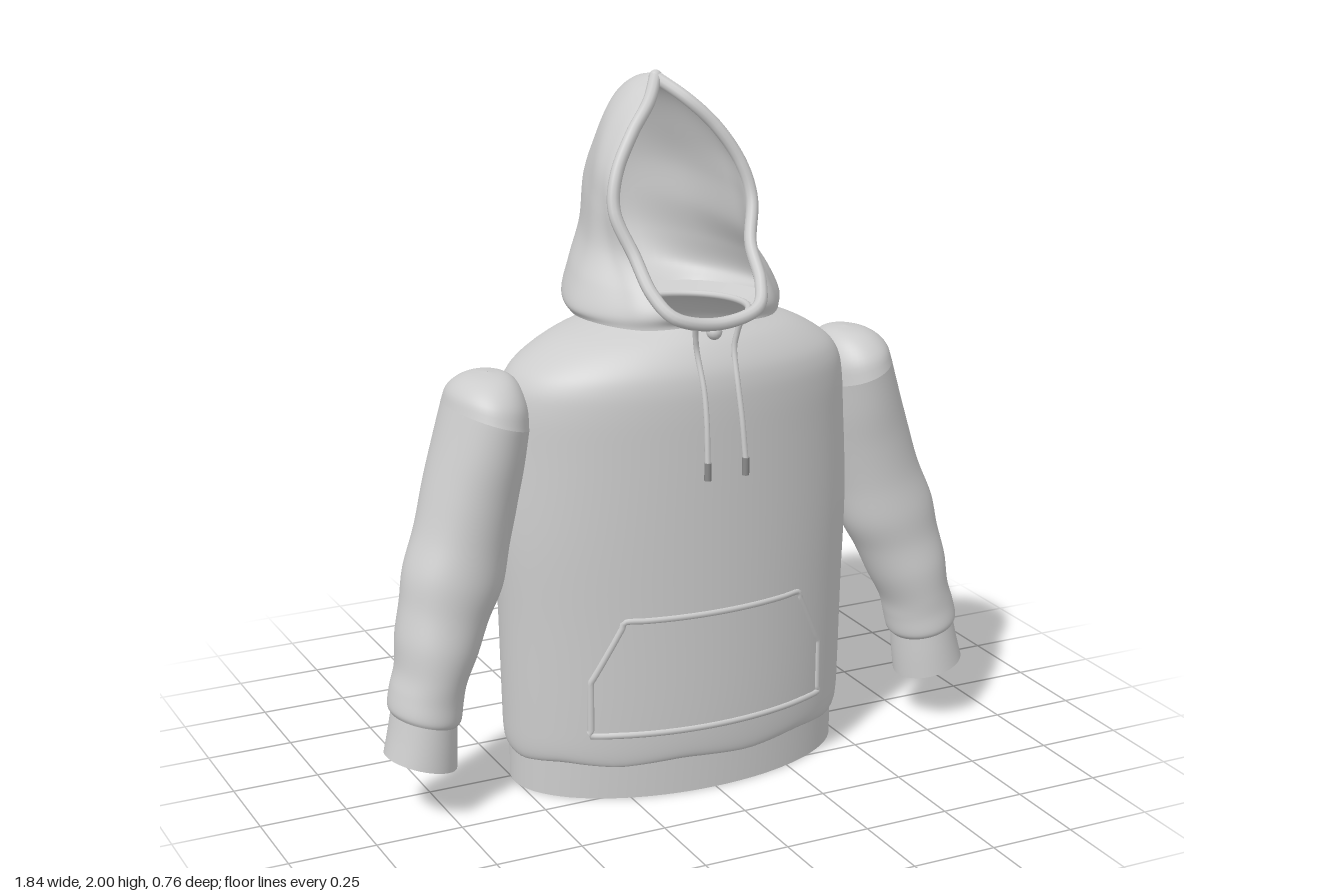
import * as THREE from 'three';

const V = (x, y, z) => new THREE.Vector3(x, y, z);
const fabric = new THREE.MeshStandardMaterial({ color: 0xcccccc, side: THREE.DoubleSide });
fabric.name = 'light grey fabric';
const tipGrey = new THREE.MeshStandardMaterial({ color: 0x8a8a8a });
tipGrey.name = 'dark grey tip';

const spline = (pts, closed = false) => new THREE.CatmullRomCurve3(pts, closed, 'catmullrom', 0.5);

// Smooth surface through cross-section rows; nU points around, nV steps along
function skin(rows, nU, nV, closed) {
  const curves = rows.map((r) => spline(r, closed));
  const pos = [], idx = [];
  const cols = closed ? nU : nU + 1;
  for (let i = 0; i < cols; i++) {
    const along = spline(curves.map((c) => c.getPoint(i / nU)));
    for (let j = 0; j <= nV; j++) pos.push(...along.getPoint(j / nV).toArray());
  }
  for (let i = 0; i < nU; i++) {
    for (let j = 0; j < nV; j++) {
      const a = i * (nV + 1) + j, b = ((i + 1) % cols) * (nV + 1) + j;
      idx.push(a, a + 1, b, b, a + 1, b + 1);
    }
  }
  const g = new THREE.BufferGeometry();
  g.setAttribute('position', new THREE.Float32BufferAttribute(pos, 3));
  g.setIndex(idx);
  g.computeVertexNormals();
  return g;
}

// Elliptical ring, tilted in the xy plane
function ring(x, y, z, rx, rz, tilt = 0, wave = 0) {
  return Array.from({ length: 32 }, (_, i) => {
    const a = (i / 32) * Math.PI * 2, c = Math.cos(a) * rx;
    return V(x + c * Math.cos(tilt), y + c * Math.sin(tilt) + wave * Math.sin(a * 8), z + Math.sin(a) * rz);
  });
}

const tube = (pts, r, n, closed = false) => new THREE.TubeGeometry(spline(pts, closed), n, r, 10, closed);

// Hood sections, bottom to peak: rim, front side, side, back corner (xyz each), back (yz)
const HOOD = [
  [0, 1.365, 0.315, 0.2, 1.355, 0.255, 0.3, 1.36, 0.05, 0.2, 1.355, -0.18, 1.355, -0.235],
  [0.12, 1.39, 0.31, 0.225, 1.39, 0.23, 0.312, 1.39, 0.04, 0.22, 1.4, -0.2, 1.41, -0.31],
  [0.165, 1.45, 0.25, 0.22, 1.45, 0.19, 0.283, 1.46, 0.03, 0.205, 1.48, -0.2, 1.5, -0.36],
  [0.178, 1.54, 0.165, 0.212, 1.54, 0.1, 0.238, 1.55, -0.01, 0.165, 1.58, -0.22, 1.6, -0.378],
  [0.21, 1.65, 0.11, 0.217, 1.65, 0.06, 0.215, 1.67, -0.04, 0.145, 1.7, -0.235, 1.72, -0.37],
  [0.19, 1.75, 0.08, 0.2, 1.755, 0.03, 0.19, 1.77, -0.06, 0.12, 1.8, -0.215, 1.83, -0.335],
  [0.13, 1.85, 0.05, 0.14, 1.86, 0, 0.14, 1.87, -0.08, 0.09, 1.9, -0.18, 1.92, -0.265],
  [0.06, 1.925, 0.01, 0.07, 1.935, -0.03, 0.075, 1.945, -0.08, 0.05, 1.96, -0.14, 1.968, -0.18],
  [0, 1.98, -0.07, 0.003, 1.984, -0.078, 0.004, 1.986, -0.085, 0.003, 1.988, -0.092, 1.988, -0.1],
];

export function createModel() {
  const model = new THREE.Group();
  model.name = 'hoodie';
  const add = (name, geo, mat = fabric, parent = model) => {
    const m = new THREE.Mesh(geo, mat);
    m.name = name;
    parent.add(m);
    return m;
  };

  // Body, open at neck and hem: y, half width, half depth, hem wave
  const body = [
    [0.115, 0.5, 0.28, 0], [0.105, 0.51, 0.289, 0.006], [0.14, 0.522, 0.297, 0.004], [0.25, 0.526, 0.3, 0],
    [0.5, 0.532, 0.3, 0], [0.75, 0.54, 0.3, 0], [1.0, 0.53, 0.3, 0], [1.13, 0.522, 0.299, 0],
    [1.2, 0.5, 0.293, 0], [1.25, 0.45, 0.277, 0], [1.3, 0.36, 0.243, 0], [1.34, 0.235, 0.2, 0],
  ];
  add('body', skin(body.map(([y, rx, rz, w]) => ring(0, y, 0.04, rx, rz, 0, w)), 80, 66, true));

  // Waistband: outer wall, inner wall and bottom edge
  const band = (y, s) => ring(0, y, 0.038, 0.505 - s, 0.284 - s);
  add('waistbandOuter', skin([band(0, 0), band(0.13, 0)], 80, 1, true));
  add('waistbandInner', skin([band(0, 0.016), band(0.13, 0.016)], 80, 1, true));
  add('waistbandEdge', skin([band(0, 0), band(0, 0.016)], 80, 1, true));

  // Raised pocket outline following the front of the body
  const corners = [[-0.36, 0.2], [0.36, 0.2], [0.36, 0.36], [0.27, 0.54], [-0.27, 0.54], [-0.36, 0.36]];
  const outline = [];
  corners.forEach(([x0, y0], k) => {
    const [x1, y1] = corners[(k + 1) % 6];
    for (let i = 0; i < 10; i++) {
      const x = x0 + ((x1 - x0) * i) / 10, y = y0 + ((y1 - y0) * i) / 10;
      outline.push(V(x, y, 0.036 + 0.3 * Math.sqrt(1 - (x / 0.53) ** 2)));
    }
  });
  add('pocketEdge', tube(outline, 0.01, 180, true));

  // Sleeves: x, y, z, half width, half depth, tilt
  const shoulder = [
    [0.57, 1.11, 0.037, 0.118, 0.168, 0.32], [0.565, 1.16, 0.037, 0.108, 0.152, 0.2],
    [0.562, 1.2, 0.037, 0.085, 0.115, 0.08], [0.56, 1.223, 0.037, 0.052, 0.068, 0], [0.56, 1.231, 0.037, 0.001, 0.001, 0],
  ];
  const sleeve = [
    [0.57, 1.11, 0.037, 0.118, 0.168, 0.32], [0.593, 1.01, 0.038, 0.126, 0.162, 0.28],
    [0.622, 0.9, 0.042, 0.132, 0.15, 0.25], [0.655, 0.78, 0.055, 0.135, 0.136, 0.24],
    [0.69, 0.67, 0.07, 0.143, 0.131, 0.24], [0.722, 0.58, 0.08, 0.128, 0.124, 0.26],
    [0.752, 0.49, 0.092, 0.118, 0.125, 0.28], [0.775, 0.41, 0.102, 0.102, 0.117, 0.28],
    [0.79, 0.355, 0.106, 0.104, 0.114, 0.26], [0.8, 0.305, 0.112, 0.104, 0.113, 0.25], [0.803, 0.285, 0.114, 0.092, 0.104, 0.25],
  ];
  const cuff = [
    [0.802, 0.295, 0.114, 0.092, 0.105, 0.25], [0.81, 0.23, 0.118, 0.098, 0.107, 0.26], [0.82, 0.167, 0.123, 0.104, 0.107, 0.27],
  ];
  for (const s of [1, -1]) {
    const arm = new THREE.Group();
    arm.name = s > 0 ? 'leftSleeve' : 'rightSleeve';
    model.add(arm);
    for (const [name, rows, n] of [['shoulderCap', shoulder, 16], ['sleeve', sleeve, 60], ['cuff', cuff, 6]]) {
      const rings = rows.map(([x, y, z, rx, rz, t]) => ring(s * x, y, z, s * rx, rz, s * t));
      add(name, skin(rings, 48, n, true), fabric, arm);
    }
  }

  // Hood shell, each section mirrored about its back point
  const sections = HOOD.map((r) => {
    const half = [0, 3, 6, 9].map((k) => V(r[k], r[k + 1], r[k + 2]));
    const other = half.map((p) => V(-p.x, p.y, p.z)).reverse();
    return [...half, V(0, r[12], r[13]), ...other];
  });
  add('hood', skin(sections, 72, 64, false));

  // Underside of the hood, running in to the neck opening
  const neck = sections[0].map((p) => {
    const a = Math.atan2((p.z - 0.04) / 0.28, p.x / 0.3);
    return V(0.225 * Math.cos(a), 1.335, 0.035 + 0.19 * Math.sin(a));
  });
  add('hoodBase', skin([sections[0], neck], 72, 4, false));
  add('neckSeam', tube(ring(0, 1.338, 0.035, 0.222, 0.187), 0.01, 72, true));

  // Rolled rim of the face opening
  const rim = sections.map((s) => s[0]);
  const rimLeft = rim.slice(1).map((p) => V(-p.x, p.y, p.z));
  add('hoodRim', tube([...rim.slice().reverse(), ...rimLeft], 0.018, 140));
  add('rimPeak', new THREE.SphereGeometry(0.019, 14, 10)).position.set(0, 1.981, -0.07);

  // Centre seam loop below the opening
  add('frontLoop', new THREE.BoxGeometry(0.03, 0.012, 0.09)).position.set(0, 1.352, 0.265);
  add('frontKnot', new THREE.SphereGeometry(0.022, 14, 10)).position.set(0, 1.338, 0.295);

  // Drawstrings with tips
  for (const s of [1, -1]) {
    const cord = [[0.07, 1.375, 0.322], [0.063, 1.33, 0.308], [0.056, 1.28, 0.306], [0.052, 1.19, 0.338], [0.054, 1.1, 0.36], [0.058, 0.99, 0.374]];
    add('drawstring', tube(cord.map(([x, y, z]) => V(s * x, y, z)), 0.008, 40));
    add('drawstringTip', new THREE.CylinderGeometry(0.01, 0.01, 0.05, 12), tipGrey).position.set(s * 0.058, 0.97, 0.375);
  }
  return model;
}
